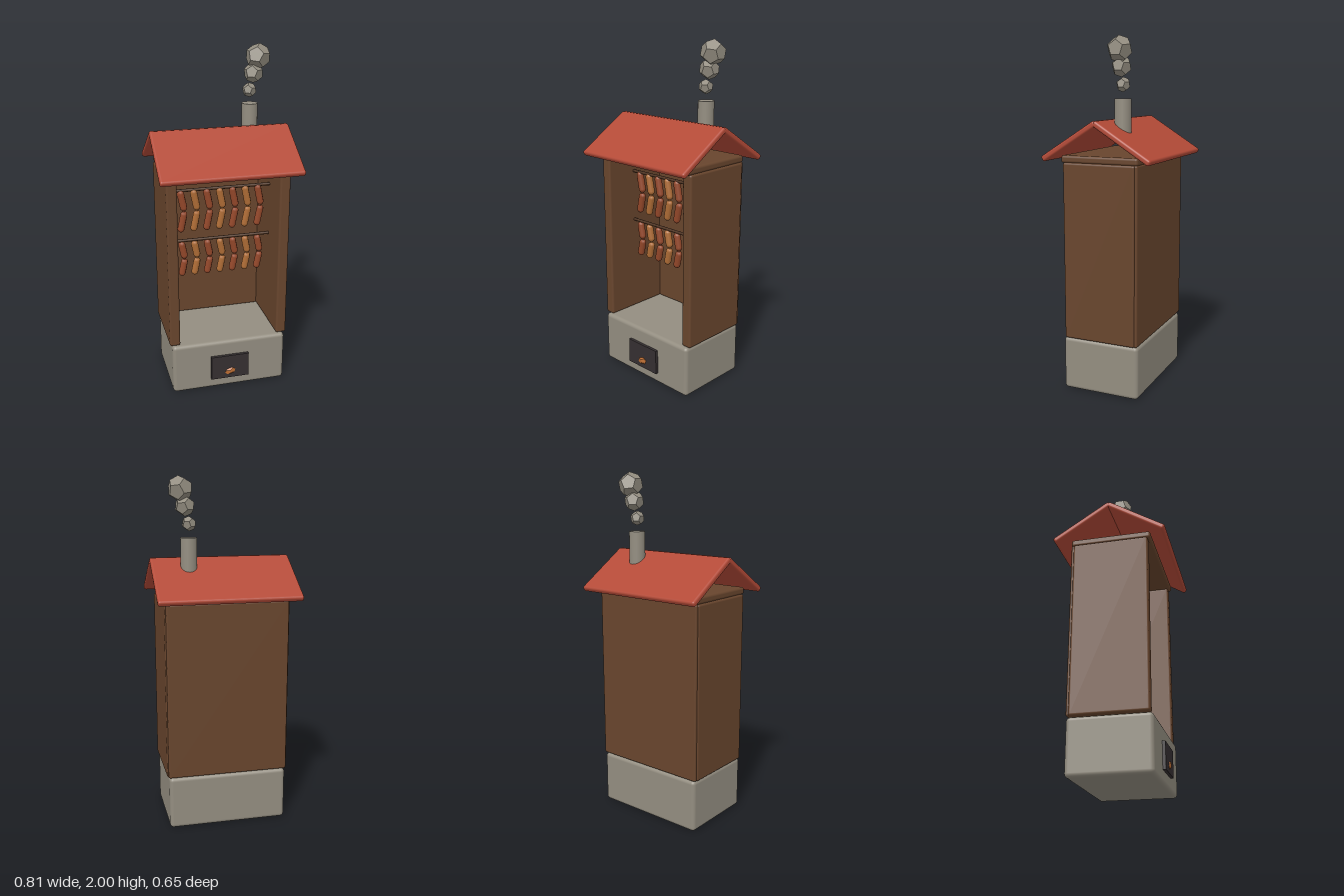
import * as THREE from 'three';
import { RoundedBoxGeometry } from 'three/addons/geometries/RoundedBoxGeometry.js';

const mat = (name, color) => new THREE.MeshStandardMaterial({ name, color });

export function createModel() {
  const model = new THREE.Group();
  model.name = 'smokehouse';

  const stone = mat('stone', 0x938d80);
  const wood = mat('wood', 0x68452d);
  const darkWood = mat('dark wood', 0x4f3422);
  const tile = mat('roof red', 0xb34a37);
  const soot = mat('soot black', 0x352f31);
  const smoke = mat('smoke grey', 0x938d80);
  const sausageDark = mat('sausage red brown', 0x95482a);
  const sausageLight = mat('sausage orange brown', 0xb06d36);
  const glow = mat('ember orange', 0xbf6f35);

  const add = (name, geometry, material, x, y, z, parent = model) => {
    const mesh = new THREE.Mesh(geometry, material);
    mesh.name = name;
    mesh.position.set(x, y, z);
    parent.add(mesh);
    return mesh;
  };
  const box = (w, h, d, r) => new RoundedBoxGeometry(w, h, d, 3, r);

  // Stone base with fire opening
  add('base', box(0.69, 0.31, 0.46, 0.022), stone, 0, 0.158, 0);
  add('fireOpening', new THREE.BoxGeometry(0.23, 0.15, 0.03), soot, 0, 0.145, 0.232);
  const ember = add('ember', new THREE.DodecahedronGeometry(0.036), glow, 0, 0.115, 0.243);
  ember.scale.set(1, 0.7, 0.4);
  ember.rotation.z = 0.3;

  // Cabinet: open at the front
  for (const side of [-1, 1]) {
    add(side > 0 ? 'leftWall' : 'rightWall', box(0.062, 1.01, 0.43, 0.012), wood, side * 0.326, 0.82, 0);
  }
  add('backWall', box(0.7, 1.01, 0.03, 0.01), wood, 0, 0.82, -0.214);
  add('topBoard', box(0.7, 0.042, 0.46, 0.014), wood, 0, 1.343, 0);

  // Two sloping roof slabs
  for (const side of [-1, 1]) {
    const slab = add(side > 0 ? 'frontRoof' : 'backRoof', box(0.81, 0.034, 0.385, 0.013), tile, 0, 1.445, side * 0.156);
    slab.rotation.x = side * 0.562;
  }

  // Chimney and drifting smoke
  add('chimney', new THREE.CylinderGeometry(0.046, 0.046, 0.19, 20), stone, 0.195, 1.577, -0.078);
  const puffs = [
    [0.192, 1.747, 0.041, -0.35],
    [0.215, 1.843, 0.057, -0.4],
    [0.24, 1.934, 0.072, -0.5],
  ];
  for (const [x, y, r, turn] of puffs) {
    add('smokePuff', new THREE.DodecahedronGeometry(r), smoke, x, y, -0.078).rotation.z = turn;
  }

  // Hanging rods, each with seven pairs of linked sausages
  const rodGeometry = new THREE.CylinderGeometry(0.009, 0.009, 0.6, 10).rotateZ(Math.PI / 2);
  const rows = [
    { rodY: 1.207, top: 1.212, link: 0.13 },
    { rodY: 0.898, top: 0.895, link: 0.111 },
  ];
  for (const { rodY, top, link } of rows) {
    const row = new THREE.Group();
    row.name = 'sausageRow';
    model.add(row);
    add('rod', rodGeometry, darkWood, 0, rodY, 0.02, row);
    const radius = 0.021;
    const sausage = new THREE.CapsuleGeometry(radius, link - 2 * radius, 4, 8);
    for (let i = 0; i < 7; i++) {
      const x = (i - 3) * 0.077;
      const material = i % 2 ? sausageLight : sausageDark;
      for (const end of [0, 1]) {
        const s = add('sausage', sausage, material, x, top - link * (end + 0.5), 0.02, row);
        s.rotation.z = end ? -0.2 : 0.2;
      }
      add('sausageKnot', new THREE.SphereGeometry(0.01, 8, 6), material, x + 0.008, top - link, 0.02, row);
    }
  }

  return model;
}
